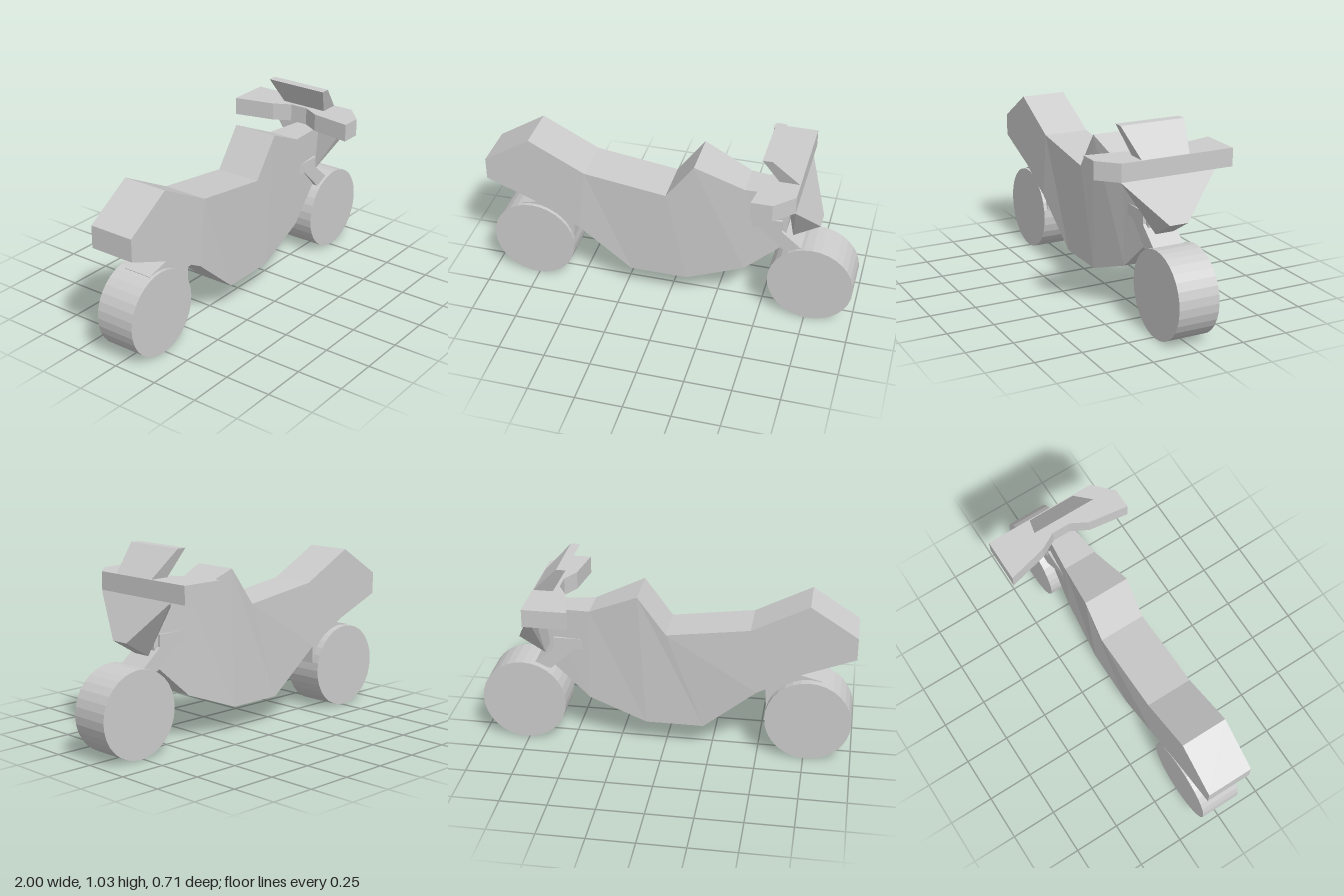
import * as THREE from 'three';

const grey = new THREE.MeshStandardMaterial({ color: 0xcccccc, flatShading: true, side: THREE.DoubleSide });
const ZC = 0.01; // slight sideways offset of the bodywork

// Skin a list of equal-length rings of [x, y, z] corners and cap both ends.
function loft(rings) {
  const pos = [];
  const n = rings[0].length;
  const tri = (a, b, c) => pos.push(...a, ...b, ...c);
  for (let i = 0; i < rings.length - 1; i++) {
    const r = rings[i], s = rings[i + 1];
    for (let j = 0; j < n; j++) {
      const k = (j + 1) % n;
      tri(r[j], r[k], s[k]);
      tri(r[j], s[k], s[j]);
    }
  }
  const first = rings[0], last = rings[rings.length - 1];
  for (let j = 1; j < n - 1; j++) {
    tri(first[0], first[j + 1], first[j]);
    tri(last[0], last[j], last[j + 1]);
  }
  const g = new THREE.BufferGeometry();
  g.setAttribute('position', new THREE.Float32BufferAttribute(pos, 3));
  g.computeVertexNormals();
  return g;
}

// Side profile of [x, y, halfWidth], spanning the width across z.
function taperedSlab(profile, centre) {
  return loft([-1, 1].map(s => profile.map(([x, y, w]) => [x, y, centre + s * w])));
}

// Flat outline extruded along z from z0 to z1.
function plate(points, z0, z1) {
  const shape = new THREE.Shape(points.map(p => new THREE.Vector2(...p)));
  return new THREE.ExtrudeGeometry(shape, { depth: z1 - z0, bevelEnabled: false }).translate(0, 0, z0);
}

export function createModel() {
  const model = new THREE.Group();
  const add = (name, geometry) => {
    const mesh = new THREE.Mesh(geometry, grey);
    mesh.name = name;
    model.add(mesh);
    return mesh;
  };

  // Body: stations from tail to nose: top x, y, half width, bottom x, y, half width
  const stations = [
    [-1.0, 0.74, 0.125, -1.0, 0.62, 0.125],
    [-0.75, 0.90, 0.125, -0.72, 0.51, 0.125],
    [-0.45, 0.745, 0.125, -0.49, 0.385, 0.125],
    [-0.01, 0.685, 0.125, -0.21, 0.145, 0.105],
    [0.14, 0.89, 0.125, 0.10, 0.145, 0.105],
    [0.40, 0.775, 0.09, 0.41, 0.26, 0.085],
    [0.65, 0.765, 0.065, 0.61, 0.44, 0.065],
  ];
  add('body', loft(stations.map(([tx, ty, tw, bx, by, bw]) => [
    [tx, ty, ZC + tw], [bx, by, ZC + bw], [bx, by, ZC - bw], [tx, ty, ZC - tw],
  ])));

  // Wheels
  for (const [name, x] of [['rearWheel', -0.765], ['frontWheel', 0.768]]) {
    const wheel = add(name, new THREE.CylinderGeometry(0.229, 0.229, 0.22, 32).rotateX(Math.PI / 2));
    wheel.position.set(x, 0.231, 0);
  }

  // Rear mudguard and swing arm block
  add('rearMudguard', plate([
    [-0.83, 0.455], [-0.69, 0.49], [-0.48, 0.39], [-0.535, 0.385], [-0.54, 0.27], [-0.7, 0.3],
  ], ZC - 0.08, ZC + 0.08));

  // Fork: an arm on each side and a crosspiece reaching down to the front wheel
  for (const side of [-1, 1]) {
    const z = ZC + side * 0.07;
    add(side > 0 ? 'leftForkArm' : 'rightForkArm', plate([
      [0.32, 0.545], [0.49, 0.545], [0.56, 0.48], [0.60, 0.54], [0.60, 0.605], [0.43, 0.605],
      [0.43, 0.595], [0.35, 0.595],
    ], z - 0.014, z + 0.014));
  }
  add('forkCrosspiece', plate([
    [0.49, 0.545], [0.62, 0.42], [0.72, 0.44], [0.60, 0.54],
  ], ZC - 0.084, ZC + 0.084));

  // Front fairing, wide under the handlebar and narrow at the nose
  add('frontFairing', taperedSlab([
    [0.69, 0.80, 0.26], [0.655, 0.77, 0.22], [0.655, 0.50, 0.05], [0.795, 0.585, 0.05],
  ], 0.003));

  // Handlebar: plan outline in x and -z, raised along y
  const bar = plate([
    [0.48, -0.357], [0.59, -0.357], [0.69, -0.26], [0.69, 0.357],
    [0.58, 0.357], [0.455, 0.357], [0.51, 0.14], [0.56, 0.05], [0.56, -0.05], [0.51, -0.14],
  ], 0, 0.095);
  add('handlebar', bar.rotateX(-Math.PI / 2).translate(0, 0.80, 0));

  // Windscreen, flaring towards its top edge
  add('windscreen', taperedSlab([
    [0.50, 1.037, 0.175], [0.585, 0.89, 0.13], [0.69, 0.89, 0.13], [0.55, 1.037, 0.175],
  ], 0.018));

  return model;
}
